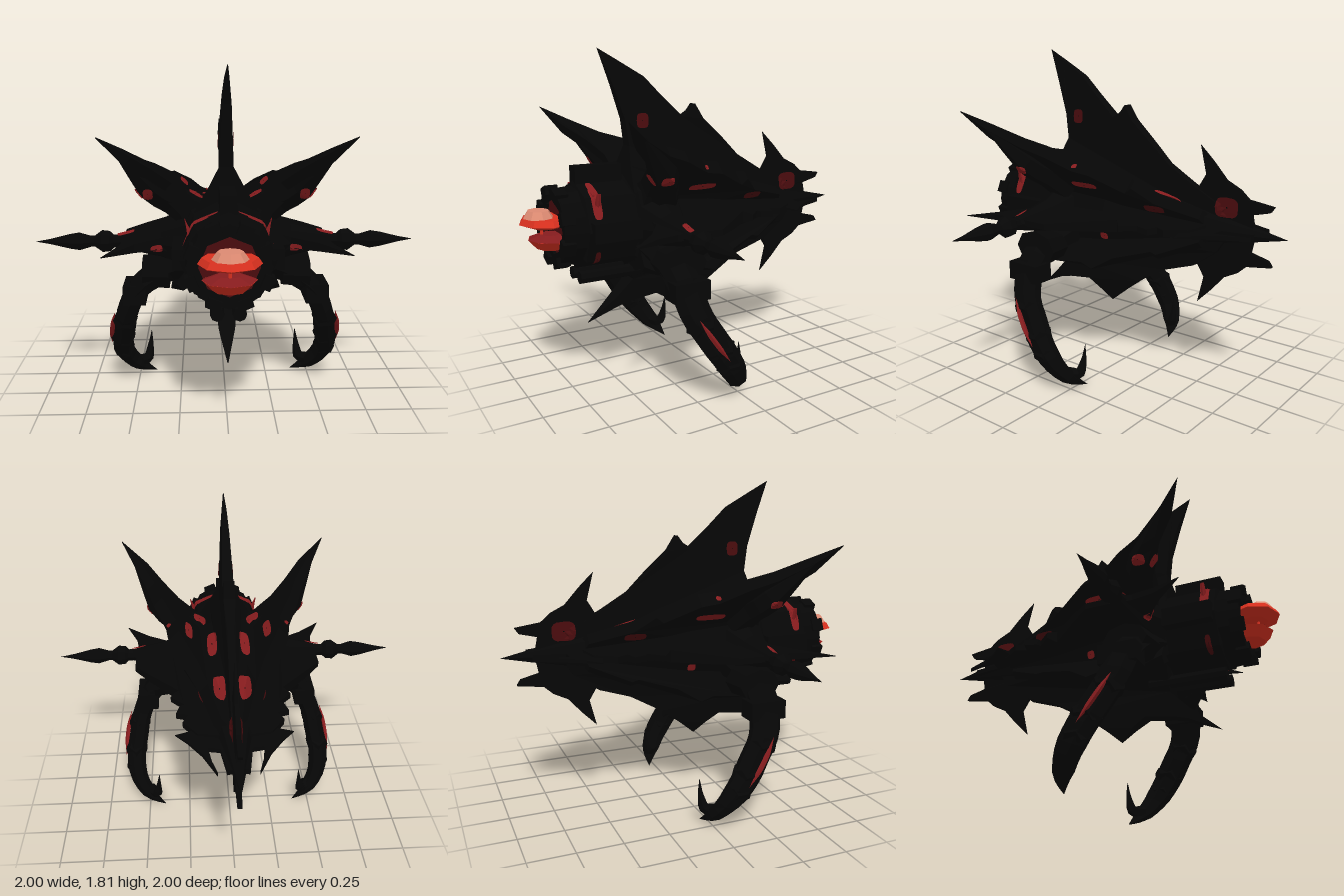
import * as THREE from 'three';

const CY = 0.91; // height of the hull axis
const mat = (name, color) => Object.assign(new THREE.MeshStandardMaterial({ color, flatShading: true, side: THREE.DoubleSide }), { name });

// hull radius at each z, from tail tip to the front rim
const PROFILE = [[-1, 0], [-0.84, 0.035], [-0.6, 0.085], [-0.3, 0.16], [0, 0.23], [0.25, 0.268], [0.42, 0.255], [0.44, 0.235], [0.71, 0.235], [0.725, 0.2]];

// blade: outline of (z, radius), thick at the root and sharp at the tip, turned around the hull axis
function bladeGeometry(outline, width, edge, degrees, taper = 1) {
  const shape = new THREE.Shape(outline.map(([z, r]) => new THREE.Vector2(z, r)));
  const g = new THREE.ExtrudeGeometry(shape, { depth: 1, bevelEnabled: false });
  const top = Math.max(...outline.map((p) => p[1]));
  const p = g.attributes.position;
  for (let i = 0; i < p.count; i++) {
    const z = p.getX(i), r = p.getY(i);
    const root = width * Math.pow(THREE.MathUtils.clamp((z + 0.9) / 1.25, 0.1, 1), taper) * (1 - r / (top * 0.5));
    const t = Math.max(root, edge * Math.sqrt(Math.max(0, 1 - r / top)) * (z < -0.2 ? 0.5 : 1), 0.002);
    p.setXYZ(i, (0.5 - p.getZ(i)) * 2 * t, r, z);
  }
  g.rotateZ(THREE.MathUtils.degToRad(degrees - 90));
  g.translate(0, CY, 0);
  g.computeVertexNormals();
  return g;
}

// tapering limb along a smooth path; each point is [x, y, z, radius], depth widens it along z
function limbGeometry(points, sides, steps, depth = 1) {
  const curve = new THREE.CatmullRomCurve3(points.map((p) => new THREE.Vector3(p[0], p[1], p[2])));
  const g = new THREE.TubeGeometry(curve, steps, 1, sides);
  const p = g.attributes.position, v = new THREE.Vector3();
  for (let i = 0; i <= steps; i++) {
    const c = curve.getPointAt(i / steps), f = (i / steps) * (points.length - 1);
    const k = Math.min(Math.floor(f), points.length - 2);
    const r = THREE.MathUtils.lerp(points[k][3], points[k + 1][3], f - k);
    for (let j = 0; j <= sides; j++) {
      const n = i * (sides + 1) + j;
      v.fromBufferAttribute(p, n).sub(c).multiplyScalar(r);
      p.setXYZ(n, c.x + v.x, c.y + v.y, c.z + v.z * depth);
    }
  }
  g.computeVertexNormals();
  return g;
}

// rounded panel draped on the hull parts; place(u, v) gives the ray start for a point of the panel
function drapedGeometry(targets, place, dir, [u0, u1, v0, v1]) {
  const g = new THREE.RingGeometry(0.01, 1, 16, 3);
  const p = g.attributes.position, ray = new THREE.Raycaster();
  const depthAt = (from) => {
    ray.set(from, dir);
    const hit = ray.intersectObjects(targets, false)[0];
    return hit ? hit.distance : Infinity;
  };
  const square = (a) => Math.sign(a) * Math.pow(Math.abs(a), 0.6);
  const middle = depthAt(place((u0 + u1) / 2, (v0 + v1) / 2));
  for (let i = 0; i < p.count; i++) {
    const from = place((u0 + u1 + square(p.getX(i)) * (u1 - u0)) / 2, (v0 + v1 + square(p.getY(i)) * (v1 - v0)) / 2);
    const d = depthAt(from);
    from.addScaledVector(dir, (Math.abs(d - middle) < 0.1 ? d : middle) - 0.009);
    p.setXYZ(i, from.x, from.y, from.z);
  }
  g.computeVertexNormals();
  return g;
}

export function createModel() {
  const root = new THREE.Group();
  root.name = 'spikedShip';
  const black = mat('blackHull', 0x060606);
  const dark = mat('darkRed', 0x4a0c0e);
  const red = mat('panelRed', 0x861c1e);
  const bright = mat('glowRed', 0xd8301f);
  const pale = mat('glowPale', 0xdc8a72);
  const add = (name, g, m, x = 0, y = 0, z = 0) => {
    const mesh = new THREE.Mesh(g, m);
    mesh.name = name;
    mesh.position.set(x, y, z);
    root.add(mesh);
    return mesh;
  };

  // hull
  const hull = new THREE.LatheGeometry(PROFILE.map(([z, r]) => new THREE.Vector2(r, z)), 8);
  add('hull', hull.rotateX(Math.PI / 2), black, 0, CY, 0);

  // dorsal and belly fins
  add('dorsalFin', bladeGeometry([[0.44, 0.15], [0.42, 0.3], [0.4, 0.4], [0.42, 0.54], [0.48, 0.72], [0.555, 0.905], [0.45, 0.845], [0.3, 0.76],
    [0.2, 0.66], [0.07, 0.54], [0.02, 0.57], [-0.01, 0.61], [-0.06, 0.53], [-0.2, 0.41], [-0.3, 0.31], [-0.45, 0.22], [-0.62, 0.13], [-0.7, 0], [0, 0.1]], 0.27, 0.05, 90, 3), black);
  add('bellyFin', bladeGeometry([[0.42, 0.1], [0.42, 0.25], [0.4, 0.33], [0.5, 0.43], [0.65, 0.555], [0.48, 0.48], [0.4, 0.46], [0.25, 0.44], [0.17, 0.49],
    [0.1, 0.555], [0, 0.47], [-0.12, 0.38], [-0.3, 0.28], [-0.48, 0.22], [-0.62, 0.12], [-0.7, 0]], 0.3, 0.09, -90), black);

  for (const s of [1, -1]) {
    const turn = (d) => (s > 0 ? d : 180 - d);
    const side = (points) => points.map(([x, ...rest]) => [s * x, ...rest]);

    // upper diagonal fins, lower ridges and side wings with barbed edges
    add('upperFin', bladeGeometry([[0.42, 0.1], [0.4, 0.28], [0.41, 0.42], [0.48, 0.54], [0.58, 0.66], [0.67, 0.842], [0.54, 0.72], [0.38, 0.6],
      [0.25, 0.54], [0.1, 0.44], [0, 0.42], [-0.18, 0.3], [-0.22, 0.32], [-0.32, 0.21], [-0.55, 0.12], [-0.6, 0]], 0.15, 0.06, turn(43.5)), black);
    add('lowerRidge', bladeGeometry([[0.42, 0.1], [0.43, 0.33], [0.3, 0.4], [0.1, 0.38], [0.02, 0.4], [-0.1, 0.32], [-0.3, 0.23], [-0.34, 0.24],
      [-0.55, 0.12], [-0.6, 0]], 0.16, 0.06, turn(-43)), black);
    add('sideWing', bladeGeometry([[0.42, 0.1], [0.4, 0.34], [0.49, 0.47], [0.65, 0.615], [0.5, 0.55], [0.38, 0.53], [0.26, 0.54], [0.13, 0.54], [0.02, 0.45],
      [-0.16, 0.29], [-0.2, 0.33], [-0.28, 0.255], [-0.29, 0.28], [-0.36, 0.3], [-0.38, 0.235], [-0.44, 0.265], [-0.55, 0.19], [-0.6, 0]], 0.14, 0.045, turn(0)), black);
    add('finRoot', limbGeometry(side([[0.18, 1.06, 0.28, 0.1], [0.28, 1.13, 0.32, 0.08], [0.37, 1.19, 0.37, 0.075], [0.44, 1.28, 0.45, 0.045],
      [0.53, 1.395, 0.55, 0.01]]), 6, 8), black);

    // side lance: collared cone, two bulbs and a long point
    const lance = [[0.16, 0.2], [0.09, 0.34], [0.06, 0.46], [0.035, 0.56], [0.035, 0.59], [0.055, 0.61], [0.06, 0.65], [0.03, 0.69], [0.03, 0.71],
      [0.048, 0.77], [0.04, 0.82], [0.015, 0.92], [0, 1]];
    add('sideLance', new THREE.LatheGeometry(lance.map(([r, d]) => new THREE.Vector2(r, d)), 8).rotateZ(-s * Math.PI / 2), black, 0, 0.905, 0.31);

    // clawed arm with shoulder, armour and hooked tip
    add('arm', limbGeometry(side([[0.16, 0.81, 0.3, 0.1], [0.32, 0.75, 0.31, 0.075], [0.46, 0.65, 0.31, 0.065], [0.535, 0.5, 0.28, 0.06], [0.56, 0.38, 0.21, 0.06],
      [0.58, 0.27, 0.14, 0.06], [0.56, 0.15, 0.06, 0.055], [0.49, 0.06, 0, 0.04], [0.4, 0.004, -0.035, 0]]), 7, 24, 1.5), black);
    add('armHook', limbGeometry(side([[0.5, 0.09, 0.02, 0.04], [0.455, 0.09, -0.025, 0.03], [0.44, 0.16, -0.045, 0.014], [0.43, 0.26, -0.05, 0]]), 5, 10), black);
    add('shoulder', new THREE.CylinderGeometry(0.085, 0.1, 0.14, 8).rotateZ(Math.PI / 2).scale(1, 1, 1.4), black, s * 0.37, 0.74, 0.3);
    add('elbowPlate', new THREE.BoxGeometry(0.12, 0.1, 0.2), black, s * 0.485, 0.625, 0.3);
    for (const [x, y, z, r] of [[0.55, 0.45, 0.26, 0.07], [0.575, 0.31, 0.16, 0.07], [0.58, 0.22, 0.11, 0.062]])
      add('armArmour', new THREE.DodecahedronGeometry(r).scale(1, 1, 1.3), black, s * x, y, z);
    add('armLight', limbGeometry(side([[0.602, 0.5, 0.3, 0], [0.62, 0.43, 0.26, 0.014], [0.635, 0.34, 0.2, 0.014], [0.642, 0.26, 0.14, 0]]), 5, 10), red);

    // paired barrels under the nose
    add('barrel', new THREE.CylinderGeometry(0.035, 0.035, 0.42, 8).rotateX(Math.PI / 2), black, s * 0.055, 0.635, 0.5);

    // horizontal tail fins with forked points
    add('tailSideFin', bladeGeometry([[-0.42, 0.05], [-0.5, 0.2], [-0.53, 0.305], [-0.6, 0.24], [-0.7, 0.17], [-0.85, 0.1], [-0.76, 0.125], [-0.66, 0.14],
      [-0.67, 0.08], [-0.84, 0.055], [-0.82, 0]], 0.05, 0.03, turn(0)), black);
    // vertical tail fins
    add('tailFin', bladeGeometry([[-0.42, 0.05], [-0.47, 0.18], [-0.53, 0.28], [-0.49, 0.43], [-0.57, 0.35], [-0.65, 0.26], [-0.73, 0.22], [-0.78, 0.175],
      [-0.92, 0.155], [-0.9, 0.125], [-0.8, 0.1], [-0.82, 0]], 0.06, 0.03, s * 90), black);

    // side block on the front drum
    add('sideBlock', new THREE.BoxGeometry(0.06, 0.1, 0.26), black, s * 0.24, CY, 0.57);
  }
  add('topBlock', new THREE.BoxGeometry(0.08, 0.09, 0.26), black, 0, 1.175, 0.58);

  // engine collar with toothed rim
  add('collar', new THREE.CylinderGeometry(0.2, 0.21, 0.12, 16, 1, true).rotateX(Math.PI / 2), black, 0, CY, 0.77);
  add('collarRim', new THREE.RingGeometry(0.145, 0.205, 8), black, 0, CY, 0.825);
  for (let i = 0; i < 8; i++) {
    const a = (i + 0.5) * Math.PI / 4;
    const tooth = add('rimTooth', new THREE.BoxGeometry(0.05, 0.07, 0.07), black, Math.cos(a) * 0.19, CY + Math.sin(a) * 0.19, 0.81);
    tooth.rotation.z = a;
  }

  // red panels draped on the black parts: [material, u0, u1, v0, v1]
  root.updateMatrixWorld(true);
  const targets = [...root.children].filter((m) => m.material === black);
  const down = new THREE.Vector3(0, -1, 0), back = new THREE.Vector3(0, 0, -1);
  for (const s of [1, -1]) {
    const inward = new THREE.Vector3(-s, 0, 0);
    const drape = (name, place, dir, panels) => panels.forEach(([m, ...area]) => add(name, drapedGeometry(targets, place, dir, area), m));
    drape('upperPanel', (x, z) => new THREE.Vector3(s * x, 3, z), down, [
      [red, 0.035, 0.1, -0.41, -0.23], [red, 0.065, 0.12, -0.06, 0.14], [red, 0.2, 0.24, 0, 0.16],
      [red, 0.12, 0.19, 0.24, 0.33], [red, 0.048, 0.21, 0.63, 0.67], [red, 0.48, 0.57, 0.305, 0.335]]);
    drape('sidePanel', (z, y) => new THREE.Vector3(s * 3, y, z), inward, [
      [dark, 0.285, 0.355, 1.4, 1.48], [red, 0.35, 0.42, 1.15, 1.195], [red, 0, 0.17, 1.08, 1.115], [red, 0.085, 0.11, 1.2, 1.22],
      [dark, -0.37, -0.25, 0.98, 1.02], [dark, -0.73, -0.6, 0.98, 1.085], [red, 0.63, 0.68, 0.97, 1.11], [dark, 0.64, 0.67, 0.72, 0.8],
      [red, -0.02, 0.025, 0.79, 0.83]]);
    drape('frontPanel', (x, y) => new THREE.Vector3(s * x, y, 3), back, [[red, 0.37, 0.42, 1.15, 1.21], [red, 0.33, 0.39, 0.865, 0.91]]);
  }

  // split glowing core: upper and lower lens, pale cap and thin link
  const lens = (top, bottom, h) => new THREE.CylinderGeometry(top, bottom, h, 8).scale(1, 1, 0.9);
  add('engineThroat', new THREE.CircleGeometry(0.16, 8), dark, 0, CY, 0.8);
  add('upperGlow', lens(0.13, 0.15, 0.03), bright, 0, 0.955, 0.865);
  add('upperGlowBase', lens(0.15, 0.08, 0.025), bright, 0, 0.928, 0.865);
  add('glowCap', lens(0.06, 0.088, 0.04), pale, 0, 0.988, 0.9);
  add('lowerGlow', lens(0.13, 0.08, 0.05), bright, 0, 0.83, 0.84);
  add('lowerGlowTop', lens(0.06, 0.13, 0.025), red, 0, 0.867, 0.84);
  add('glowLink', new THREE.CylinderGeometry(0.008, 0.008, 0.08, 6), bright, 0, 0.9, 0.885);
  return root;
}
